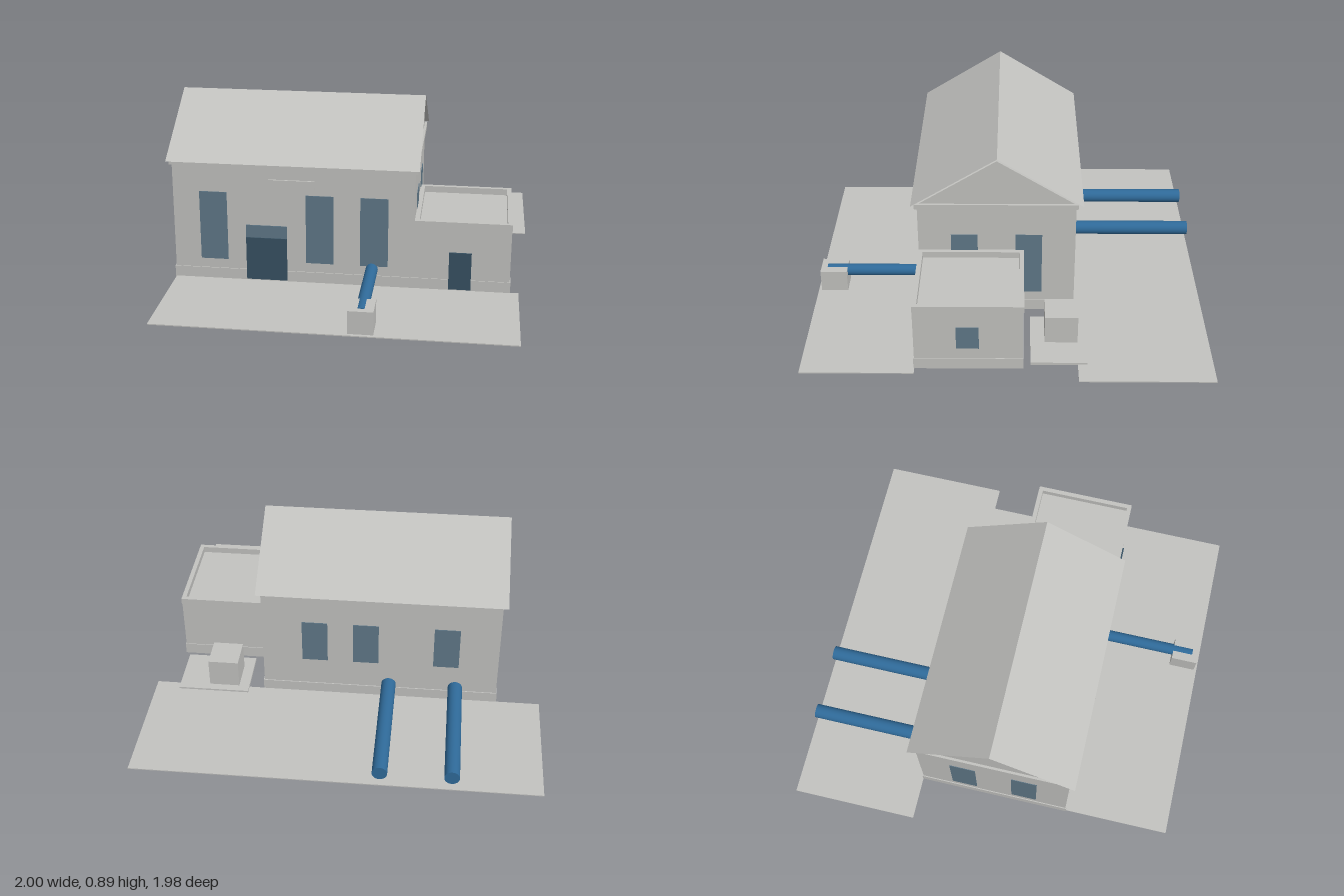
import * as THREE from 'three';

const mat = (name, color, side = THREE.FrontSide) => {
  const m = new THREE.MeshStandardMaterial({ color, side });
  m.name = name;
  return m;
};

export function createModel() {
  const concrete = mat('concrete grey', 0xc2c2bf, THREE.DoubleSide);
  const glass = mat('window blue', 0x607888);
  const doorPaint = mat('door blue', 0x375162);
  const pipePaint = mat('pipe blue', 0x2f6a99);
  const model = new THREE.Group();
  model.name = 'pumpHouse';

  const add = (name, geometry, material) => {
    const mesh = new THREE.Mesh(geometry, material);
    mesh.name = name;
    model.add(mesh);
    return mesh;
  };

  // Box given by its limits on each axis; open = true leaves out the underside
  const box = (name, material, [x0, x1], [y0, y1], [z0, z1], open = false) => {
    const g = new THREE.BoxGeometry(x1 - x0, y1 - y0, z1 - z0);
    if (open) {
      const index = Array.from(g.index.array);
      index.splice(18, 6);
      g.setIndex(index);
      g.clearGroups();
    }
    g.translate((x0 + x1) / 2, (y0 + y1) / 2, (z0 + z1) / 2);
    return add(name, g, material);
  };

  // Paved ground
  box('frontApron', concrete, [-0.775, 0.945], [0, 0.005], [0.44, 0.988]);
  box('rearApron', concrete, [-1, 1], [0, 0.005], [-0.993, -0.342]);

  // Main hall, open underneath
  box('hallWalls', concrete, [-0.775, 0.428], [0, 0.61], [-0.338, 0.44], true);
  box('cornice', concrete, [-0.787, 0.44], [0.605, 0.63], [-0.347, 0.453]);

  // Annex with a recessed flat roof
  box('annexWalls', concrete, [0.428, 0.9], [0, 0.33], [-0.078, 0.44], true);

  // Rectangular ring lying flat, used for bases and parapet
  const ring = (name, [x0, x1], [y0, y1], [z0, z1], t) => {
    const rect = (P, i) => new P([
      new THREE.Vector2(x0 + i, -z0 - i), new THREE.Vector2(x0 + i, -z1 + i),
      new THREE.Vector2(x1 - i, -z1 + i), new THREE.Vector2(x1 - i, -z0 - i),
    ]);
    const shape = rect(THREE.Shape, 0);
    shape.holes.push(rect(THREE.Path, t));
    const g = new THREE.ExtrudeGeometry(shape, { depth: y1 - y0, bevelEnabled: false });
    g.rotateX(-Math.PI / 2).translate(0, y0, 0);
    add(name, g, concrete);
  };
  ring('annexParapet', [0.428, 0.902], [0.33, 0.363], [-0.083, 0.441], 0.023);
  ring('hallPlinth', [-0.78, 0.433], [0, 0.06], [-0.343, 0.445], 0.005);
  ring('annexPlinth', [0.426, 0.904], [0, 0.06], [-0.082, 0.444], 0.004);

  // Gable ends and thin sloping roof planes
  const ridgeZ = 0.048;
  for (const [name, x] of [['leftGable', 0.428], ['rightGable', -0.775]]) {
    const tri = new THREE.Shape([
      new THREE.Vector2(-0.43, 0.63), new THREE.Vector2(0.33, 0.63), new THREE.Vector2(-0.05, 0.867),
    ]);
    add(name, new THREE.ShapeGeometry(tri).rotateY(Math.PI / 2).translate(x, 0, 0), concrete);
  }
  for (const [name, eaveZ] of [['frontRoof', 0.47], ['rearRoof', -0.374]]) {
    const run = eaveZ - ridgeZ, rise = 0.888 - 0.625;
    const g = new THREE.PlaneGeometry(1.247, Math.hypot(run, rise));
    const tilt = Math.atan2(Math.abs(run), rise);
    g.rotateX(-tilt);
    if (run < 0) g.rotateY(Math.PI);
    g.translate(-0.175, (0.888 + 0.625) / 2, ridgeZ + run / 2);
    add(name, g, concrete);
  }

  // Front windows, doors and blank board
  for (const x of [-0.573, -0.04, 0.23]) {
    box('frontWindow', glass, [x - 0.069, x + 0.069], [0.11, 0.468], [0.438, 0.444]);
  }
  box('mainDoor', doorPaint, [-0.41, -0.205], [0.01, 0.235], [0.441, 0.449]);
  box('doorTransom', glass, [-0.41, -0.205], [0.235, 0.3], [0.438, 0.445]);
  box('annexDoor', doorPaint, [0.6, 0.71], [0.01, 0.205], [0.441, 0.449]);
  box('frontBoard', concrete, [-0.29, -0.06], [0.505, 0.552], [0.462, 0.471]);

  // Rear windows
  for (const x of [-0.51, -0.1, 0.16]) {
    box('rearWindow', glass, [x - 0.065, x + 0.065], [0.215, 0.45], [-0.342, -0.336]);
  }

  // Side windows, alike on both ends of the hall
  for (const x of [0.428, -0.775]) {
    for (const z of [0.212, -0.107]) {
      box('sideWindow', glass, [x - 0.003, x + 0.003], [0.11, 0.452], [z - 0.066, z + 0.066]);
    }
  }
  box('annexWindow', glass, [0.898, 0.904], [0.12, 0.242], [0.13, 0.238]);

  // Pipes running along z
  const pipe = (name, x, y, r, z0, z1) => {
    const g = new THREE.CylinderGeometry(r, r, z1 - z0, 24);
    g.rotateX(Math.PI / 2).translate(x, y, (z0 + z1) / 2);
    add(name, g, pipePaint);
  };
  pipe('rearPipe', -0.563, 0.08, 0.037, -0.993, -0.33);
  pipe('rearPipe', -0.22, 0.08, 0.037, -0.993, -0.33);
  pipe('frontPipe', 0.22, 0.095, 0.03, 0.425, 0.94);
  box('valveChamber', concrete, [0.16, 0.28], [0, 0.12], [0.835, 0.972]);

  // Equipment cabinet on its pad
  box('cabinetPad', concrete, [0.512, 0.876], [0, 0.014], [-0.388, -0.115]);
  box('cabinet', concrete, [0.565, 0.72], [0.014, 0.163], [-0.347, -0.185]);

  return model;
}
